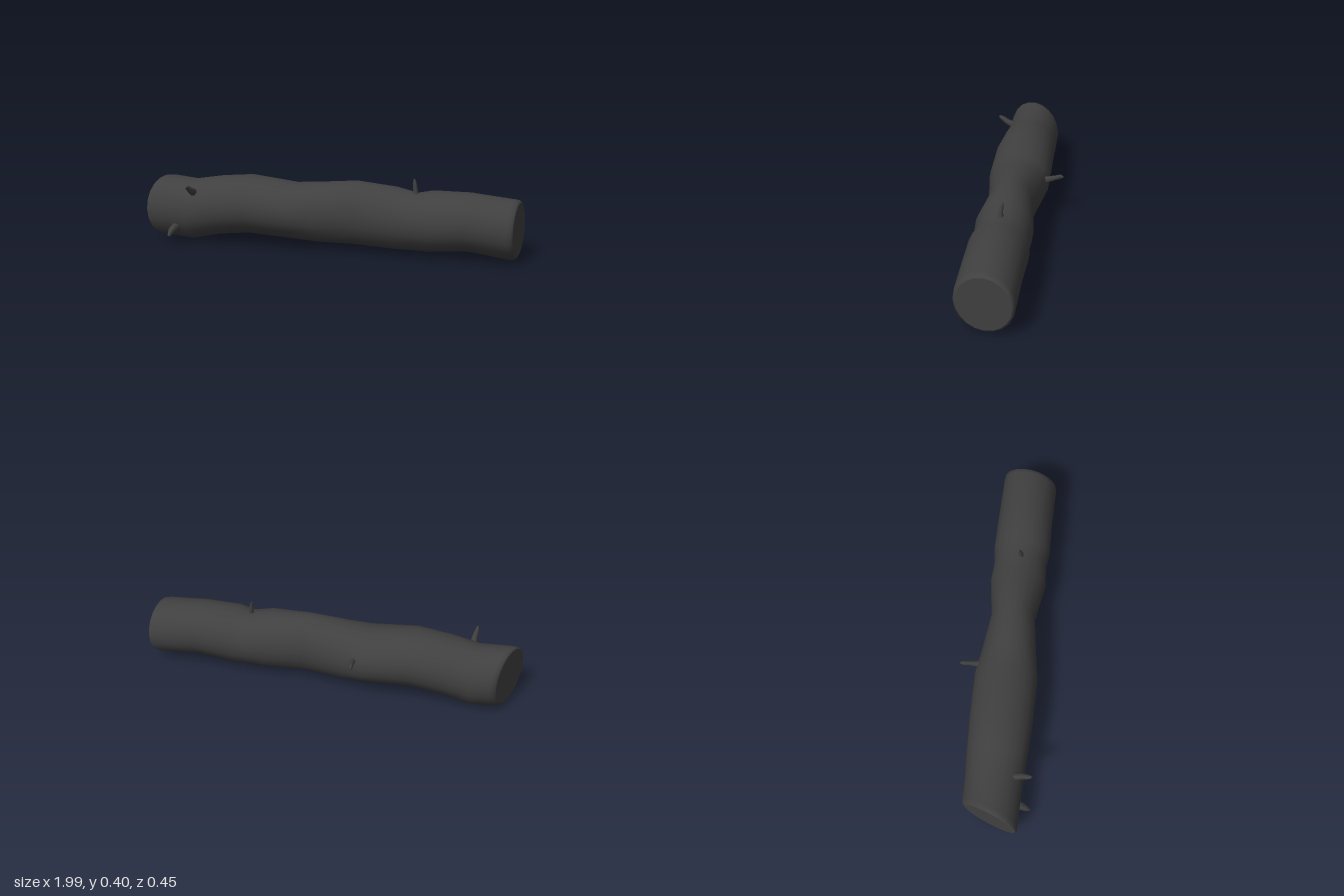
import * as THREE from 'three';

const bark = new THREE.MeshStandardMaterial({ color: 0x404040 });

// Skin a list of rings (arrays of Vector3) and close both ends with crisp flat caps
function loft(rings) {
  const n = rings[0].length, pos = [], index = [];
  rings.forEach(ring => ring.forEach(p => pos.push(p.x, p.y, p.z)));
  for (let i = 0; i < rings.length - 1; i++) {
    for (let j = 0; j < n; j++) {
      const a = i * n + j, b = i * n + (j + 1) % n;
      index.push(a, b, a + n, b, b + n, a + n);
    }
  }
  [rings[0], rings[rings.length - 1]].forEach((ring, end) => {
    const base = pos.length / 3, centre = new THREE.Vector3();
    ring.forEach(p => { centre.addScaledVector(p, 1 / n); pos.push(p.x, p.y, p.z); });
    pos.push(centre.x, centre.y, centre.z);
    for (let j = 0; j < n; j++) {
      const a = base + j, b = base + (j + 1) % n;
      index.push(base + n, end ? a : b, end ? b : a);
    }
  });
  const geo = new THREE.BufferGeometry();
  geo.setAttribute('position', new THREE.Float32BufferAttribute(pos, 3));
  geo.setIndex(index);
  geo.computeVertexNormals();
  return geo;
}

// Log stations: x, bottom y, top y, back z, front z, slant (dx per dz)
const stations = [
  [-0.947, 0.034, 0.336, -0.107, 0.160, -0.38],
  [-0.940, 0.022, 0.346, -0.119, 0.166, -0.38],
  [-0.915, 0.017, 0.349, -0.124, 0.168, -0.34],
  [-0.77, 0.005, 0.335, -0.125, 0.170, -0.06],
  [-0.62, 0.040, 0.360, -0.132, 0.179, 0],
  [-0.45, 0.060, 0.375, -0.139, 0.187, 0],
  [-0.20, 0.045, 0.345, -0.144, 0.187, 0],
  [-0.08, 0.035, 0.355, -0.126, 0.168, 0],
  [0.13, 0.033, 0.375, -0.096, 0.138, 0],
  [0.34, 0.027, 0.353, -0.124, 0.174, 0],
  [0.45, 0.026, 0.327, -0.118, 0.164, 0],
  [0.53, 0.025, 0.344, -0.129, 0.176, 0],
  [0.72, 0.042, 0.344, -0.126, 0.171, -0.05],
  [0.945, 0.013, 0.322, -0.123, 0.173, -0.14],
  [0.966, 0.016, 0.318, -0.121, 0.170, -0.14],
  [0.974, 0.027, 0.307, -0.110, 0.159, -0.14],
];

function logGeometry(sides = 20) {
  return loft(stations.map(([x, y0, y1, z0, z1, slant]) =>
    Array.from({ length: sides }, (_, j) => {
      const a = (j / sides) * Math.PI * 2;
      const dz = Math.sin(a) * (z1 - z0) / 2;
      return new THREE.Vector3(x + slant * dz,
        (y0 + y1) / 2 + Math.cos(a) * (y1 - y0) / 2, (z0 + z1) / 2 + dz);
    })));
}

// Tapered stub swept along points [x, y, z, radius]
function twigGeometry(points, sides = 6) {
  const path = points.map(p => new THREE.Vector3(p[0], p[1], p[2]));
  return loft(path.map((p, i) => {
    const t = path[Math.min(i + 1, path.length - 1)].clone()
      .sub(path[Math.max(i - 1, 0)]).normalize();
    const u = new THREE.Vector3(1, 0, 0).addScaledVector(t, -t.x).normalize();
    const v = t.clone().cross(u);
    return Array.from({ length: sides }, (_, j) => {
      const a = (j / sides) * Math.PI * 2, r = points[i][3];
      return p.clone().addScaledVector(u, Math.cos(a) * r * 0.9).addScaledVector(v, Math.sin(a) * r);
    });
  }));
}

const twigs = {
  topTwig: [[0.445, 0.30, 0.026, 0.019], [0.443, 0.345, 0.026, 0.014],
    [0.438, 0.378, 0.022, 0.011], [0.434, 0.399, 0.015, 0.004]],
  backTwig: [[-0.155, 0.229, -0.11, 0.022], [-0.157, 0.236, -0.145, 0.017],
    [-0.162, 0.246, -0.185, 0.013], [-0.166, 0.251, -0.208, 0.013], [-0.167, 0.249, -0.223, 0.005]],
  upperFrontTwig: [[-0.735, 0.282, 0.13, 0.022], [-0.738, 0.303, 0.168, 0.017],
    [-0.742, 0.320, 0.193, 0.014], [-0.744, 0.332, 0.213, 0.007]],
  lowerFrontTwig: [[-0.835, 0.090, 0.12, 0.030], [-0.840, 0.087, 0.16, 0.026],
    [-0.848, 0.077, 0.192, 0.020], [-0.853, 0.055, 0.217, 0.008]],
};

export function createModel() {
  const group = new THREE.Group();
  group.name = 'log';
  const add = (name, geo) => {
    const mesh = new THREE.Mesh(geo, bark);
    mesh.name = name;
    group.add(mesh);
  };
  add('trunk', logGeometry());
  for (const [name, points] of Object.entries(twigs)) add(name, twigGeometry(points));
  return group;
}
